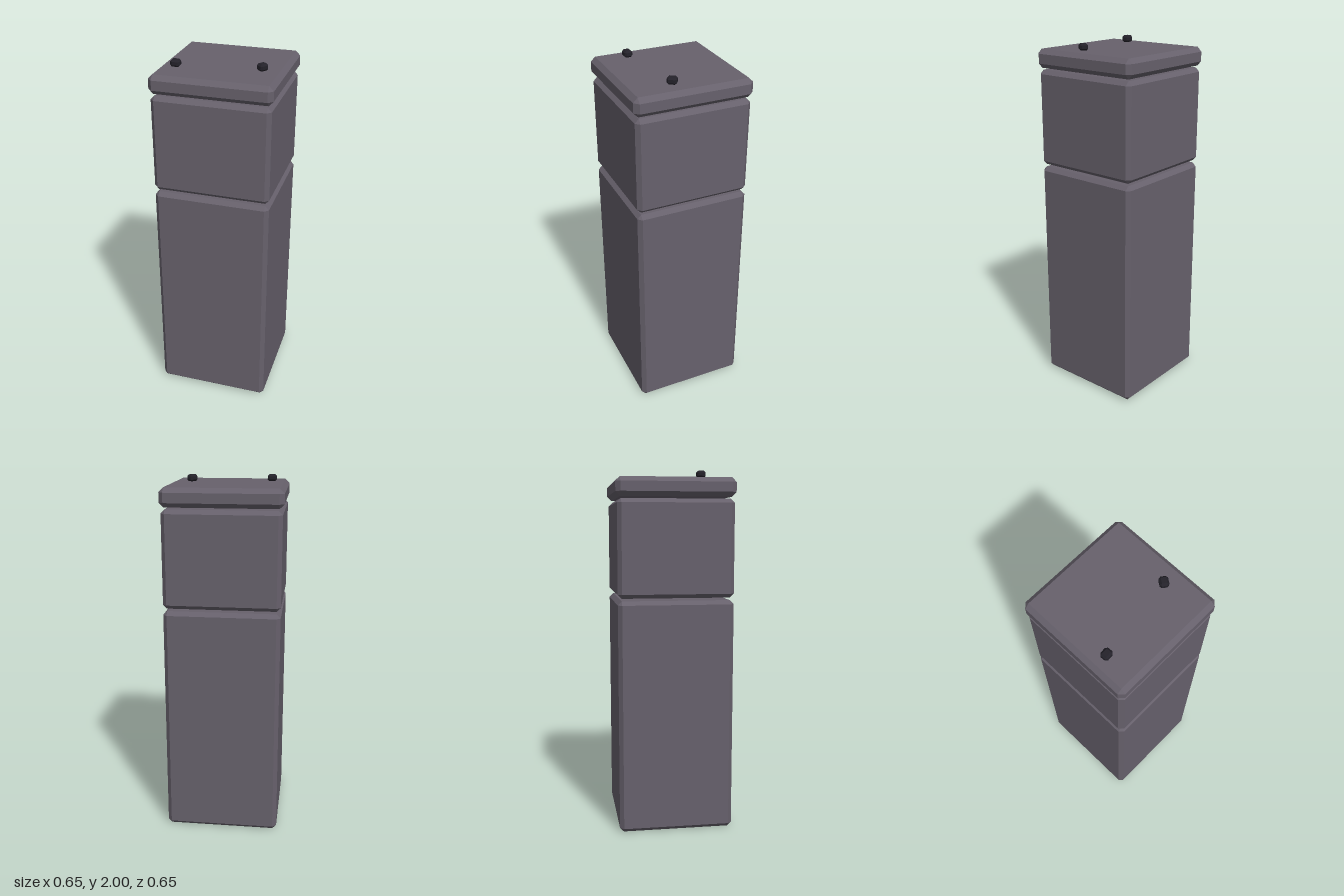
import * as THREE from 'three';
import { ConvexGeometry } from 'three/addons/geometries/ConvexGeometry.js';

// Box with a single flat bevel on every edge, centred on the origin
function bevelledBox(w, h, d, b) {
  const pts = [];
  for (const sx of [-1, 1]) for (const sy of [-1, 1]) for (const sz of [-1, 1]) {
    const x = w / 2, y = h / 2, z = d / 2;
    for (const p of [[x, y - b, z - b], [x - b, y, z - b], [x - b, y - b, z]]) {
      pts.push(new THREE.Vector3(sx * p[0], sy * p[1], sz * p[2]));
    }
  }
  return new ConvexGeometry(pts);
}

export function createModel() {
  const group = new THREE.Group();
  const stone = new THREE.MeshStandardMaterial({ color: 0x67616c, flatShading: true });
  const dark = new THREE.MeshStandardMaterial({ color: 0x24222a, flatShading: true });

  function addBlock(name, material, [w, d], [y0, y1], bevel, x = 0, z = 0, turn = 0) {
    const mesh = new THREE.Mesh(bevelledBox(w, y1 - y0, d, bevel), material);
    mesh.name = name;
    mesh.position.set(x, (y0 + y1) / 2, z);
    mesh.rotation.y = turn;
    group.add(mesh);
  }

  // Stacked pillar blocks with narrow open gaps between them
  addBlock('lowerBlock', stone, [0.64, 0.64], [0, 1.302], 0.022);
  addBlock('upperBlock', stone, [0.64, 0.64], [1.316, 1.85], 0.022);
  addBlock('capSlab', stone, [0.655, 0.655], [1.86, 1.963], 0.025);

  // Small pebbles lying on the cap
  addBlock('rightPebble', dark, [0.052, 0.046], [1.962, 2], 0.01, -0.235, 0.143, 0.06);
  addBlock('leftPebble', dark, [0.052, 0.046], [1.962, 2], 0.01, 0.212, 0.081, 0.94);

  return group;
}
